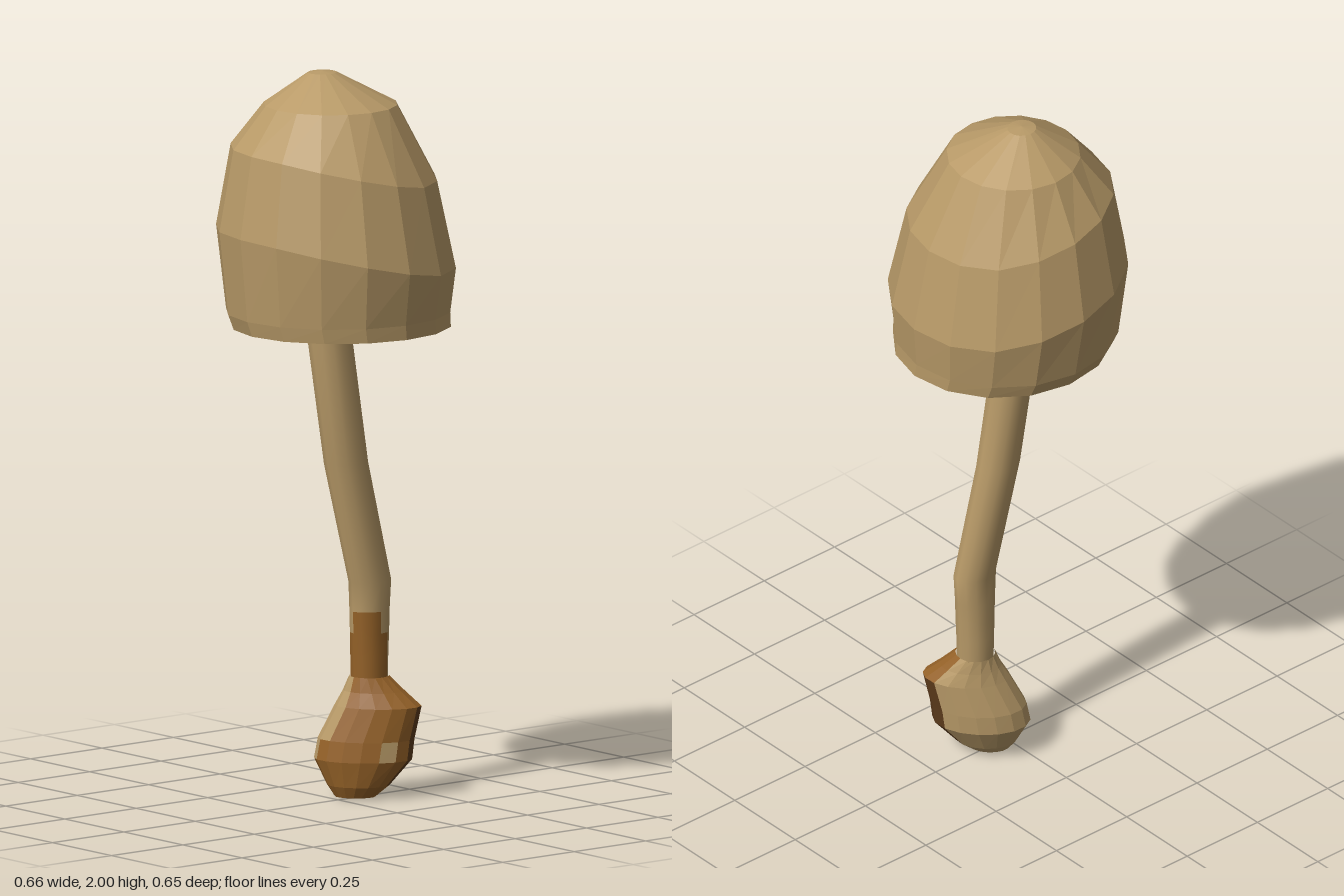
import * as THREE from 'three';

function paint(name, color) {
  const material = new THREE.MeshStandardMaterial({ color });
  material.name = name;
  return material;
}
const palette = [
  paint('tan flesh', 0xb89a68),
  paint('brown earth', 0x956228),
  paint('dark earth', 0x5e3c1c),
];

// Skin closed rings [y, cx, cz, rx, rz, tilt] listed in order.
// Angle 0 faces +z and 90 degrees faces +x; tilt raises the front of a ring.
// pick(row, degrees) returns the palette index of a face.
function loft(name, rings, sides, flat, pick = () => 0) {
  const pos = [];
  const faces = palette.map(() => []);
  rings.forEach(([y, cx, cz, rx, rz, tilt = 0]) => {
    for (let j = 0; j < sides; j++) {
      const a = (j / sides) * Math.PI * 2;
      const s = Math.sin(a), c = Math.cos(a);
      const lift = tilt * THREE.MathUtils.clamp(1.3 * c - 0.4 * s - 0.2, -1, 1);
      pos.push(cx + rx * s, y + lift, cz + rz * c);
    }
  });
  for (let i = 0; i < rings.length - 1; i++) {
    for (let j = 0; j < sides; j++) {
      const k = (j + 1) % sides;
      const a = i * sides + j, b = i * sides + k;
      let deg = ((j + 0.5) / sides) * 360;
      if (deg > 200) deg -= 360;
      faces[pick(i, deg)].push(a, b, b + sides, a, b + sides, a + sides);
    }
  }
  let geo = new THREE.BufferGeometry();
  geo.setAttribute('position', new THREE.Float32BufferAttribute(pos, 3));
  geo.setIndex(faces.flat());
  if (flat) geo = geo.toNonIndexed();
  geo.computeVertexNormals();
  let start = 0;
  faces.forEach((list, m) => {
    if (list.length) geo.addGroup(start, list.length, m);
    start += list.length;
  });
  const mesh = new THREE.Mesh(geo, palette);
  mesh.name = name;
  return mesh;
}

export function createModel() {
  const group = new THREE.Group();
  group.name = 'mushroom';

  // Bell cap: conical gill side from the stem down to the rim, then outside back up
  const cap = loft('cap', [
    [1.84, -0.04, 0.025, 0.03, 0.03],
    [1.62, -0.02, 0.015, 0.18, 0.18],
    [1.42, 0, 0, 0.262, 0.266],
    [1.31, 0.005, -0.005, 0.286, 0.296],
    [1.305, 0.008, -0.005, 0.292, 0.303],
    [1.345, 0, 0, 0.302, 0.308],
    [1.52, -0.004, 0.004, 0.33, 0.324, 0.052],
    [1.75, -0.008, 0.008, 0.283, 0.28, 0.045],
    [1.91, -0.018, 0.012, 0.183, 0.181],
    [1.995, -0.035, 0.027, 0.038, 0.04],
    [2.0, -0.035, 0.027, 0, 0],
  ], 16, true);
  cap.rotation.y = -0.04;
  group.add(cap);

  // Bent stem, stained on the front left near the base
  const stainFrom = [-30, -30, 0];
  const stainTo = [120, 120, 90];
  group.add(loft('stem', [
    [0.27, 0, -0.11, 0.05, 0.05],
    [0.39, -0.001, -0.11, 0.048, 0.054],
    [0.45, 0, -0.11, 0.049, 0.056],
    [0.51, 0, -0.11, 0.049, 0.058],
    [0.59, 0, -0.111, 0.049, 0.063],
    [0.92, -0.01, -0.036, 0.053, 0.064],
    [1.3, -0.03, 0.01, 0.06, 0.062],
    [1.86, -0.05, 0.03, 0.06, 0.06],
  ], 12, false, (row, deg) => (deg > stainFrom[row] && deg < stainTo[row] ? 1 : 0)));

  // Flattened base, long along a diagonal, with a soiled side and one bare patch
  const brownFrom = [-120, -115, -100, -67, -45, -45, -45];
  const bulb = loft('bulb', [
    [0, 0.042, -0.04, 0, 0],
    [0.004, 0.042, -0.04, 0.055, 0.038],
    [0.035, 0.05, -0.047, 0.085, 0.061],
    [0.105, 0.062, -0.06, 0.133, 0.086],
    [0.16, 0.07, -0.063, 0.131, 0.084],
    [0.25, 0.102, -0.067, 0.118, 0.073],
    [0.29, 0.09, -0.073, 0.084, 0.06],
    [0.33, 0.077, -0.077, 0.054, 0.052],
  ], 16, true, (row, deg) => {
    const barePatch = row === 3 && deg > 22.5 && deg < 45;
    if (barePatch || deg < brownFrom[row] || deg > 140) return 0;
    const hollow = row > 1 && row < 5 && deg > 67 && deg < 125;
    return row === 0 || hollow ? 2 : 1;
  });
  bulb.rotation.y = Math.PI / 4;
  group.add(bulb);

  return group;
}
